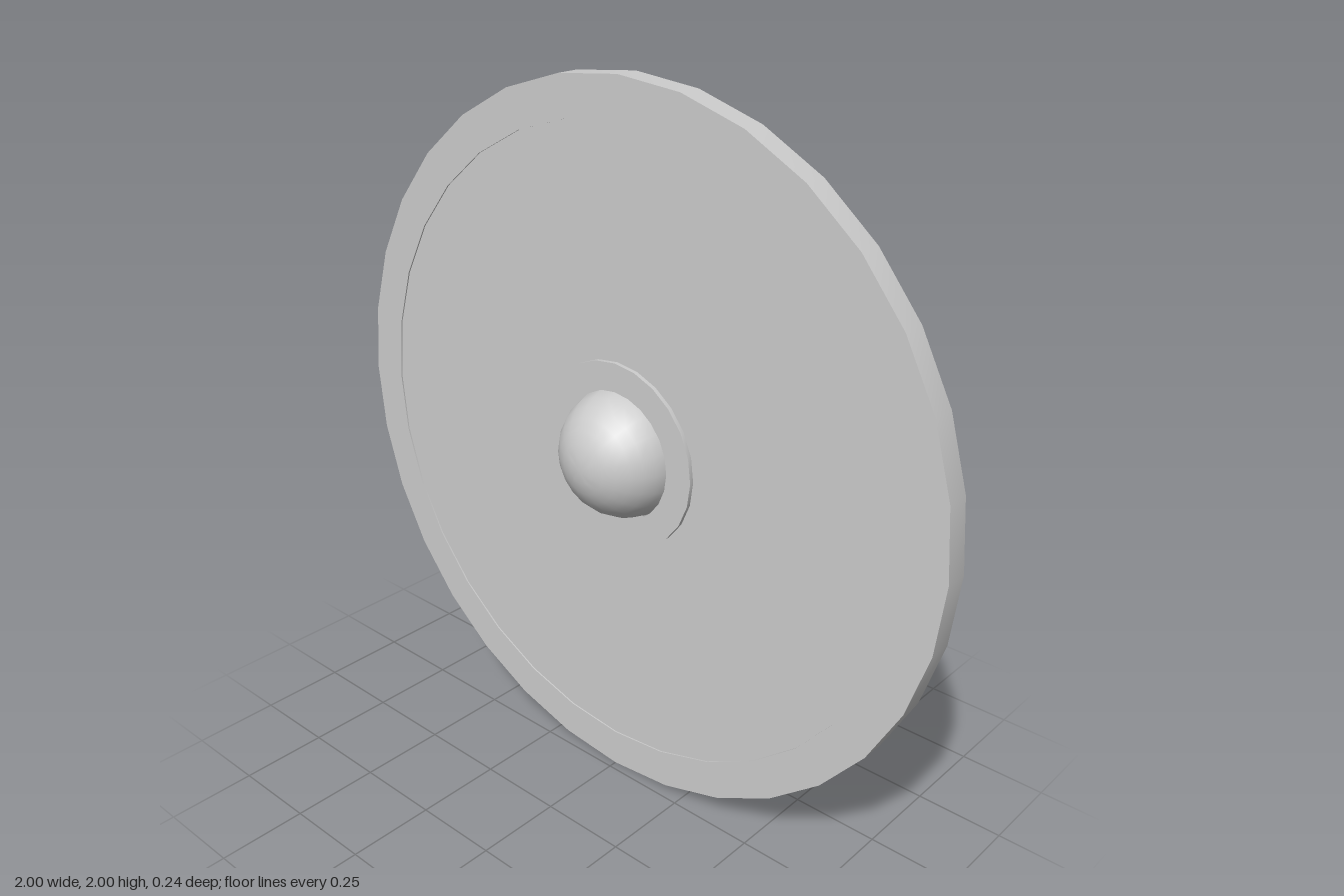
import * as THREE from 'three';
import { toCreasedNormals } from 'three/addons/utils/BufferGeometryUtils.js';

export function createModel() {
  const model = new THREE.Group();
  model.name = 'roundShield';
  const grey = new THREE.MeshStandardMaterial({ color: 0xcccccc });
  grey.name = 'grey';
  const greyShell = new THREE.MeshStandardMaterial({ color: 0xcccccc, side: THREE.DoubleSide });
  greyShell.name = 'greyShell';

  const add = (name, geometry, material, x, y, z) => {
    const mesh = new THREE.Mesh(geometry, material);
    mesh.name = name;
    mesh.position.set(x, y, z);
    model.add(mesh);
    return mesh;
  };

  // Profile of [radius, z] pairs turned about the z axis
  const turned = (profile, segments) => {
    const points = profile.map(([r, z]) => new THREE.Vector2(r, z));
    const geometry = new THREE.LatheGeometry(points, segments).rotateX(Math.PI / 2);
    return toCreasedNormals(geometry, 0.6);
  };

  // Board with a slightly raised front rim and an opening behind the boss
  add('board', turned([
    [0.182, -0.088], [0.98, -0.088], [0.98, -0.091], [1, -0.091],
    [1, -0.024], [0.89, -0.024], [0.89, -0.028], [0.182, -0.028],
  ], 32), grey, 0, 1, 0);

  // Flat collar around the boss
  add('bossCollar', turned([
    [0.182, -0.028], [0.262, -0.028], [0.262, -0.016], [0.182, -0.016],
  ], 24), grey, 0, 1.01, 0);

  // Hollow domed boss, open at the back
  const dome = [[0.183, -0.093]];
  for (let i = 0; i <= 8; i++) {
    const a = (i / 8) * Math.PI / 2;
    dome.push([0.183 * Math.cos(a), -0.063 + 0.181 * Math.sin(a)]);
  }
  add('boss', turned(dome, 20), greyShell, 0, 1.01, 0);

  // Upright battens on the back, with the chamfer on the side given by the cross-section
  const batten = (name, section, bottom, top) => {
    const shape = new THREE.Shape(section.map(([x, d]) => new THREE.Vector2(x, d)));
    const geometry = new THREE.ExtrudeGeometry(shape, { depth: top - bottom, bevelEnabled: false });
    add(name, geometry.rotateX(-Math.PI / 2), grey, 0, bottom, 0);
  };
  batten('handleBar', [[-0.046, 0.086], [0.046, 0.086], [0.046, 0.115], [-0.046, 0.115]], 0.055, 1.95);
  batten('leftBatten', [[0.52, 0.086], [0.595, 0.086], [0.59, 0.118], [0.525, 0.118]], 0.247, 1.755);
  batten('rightBatten', [[-0.595, 0.086], [-0.52, 0.086], [-0.525, 0.118], [-0.59, 0.118]], 0.247, 1.755);

  return model;
}
